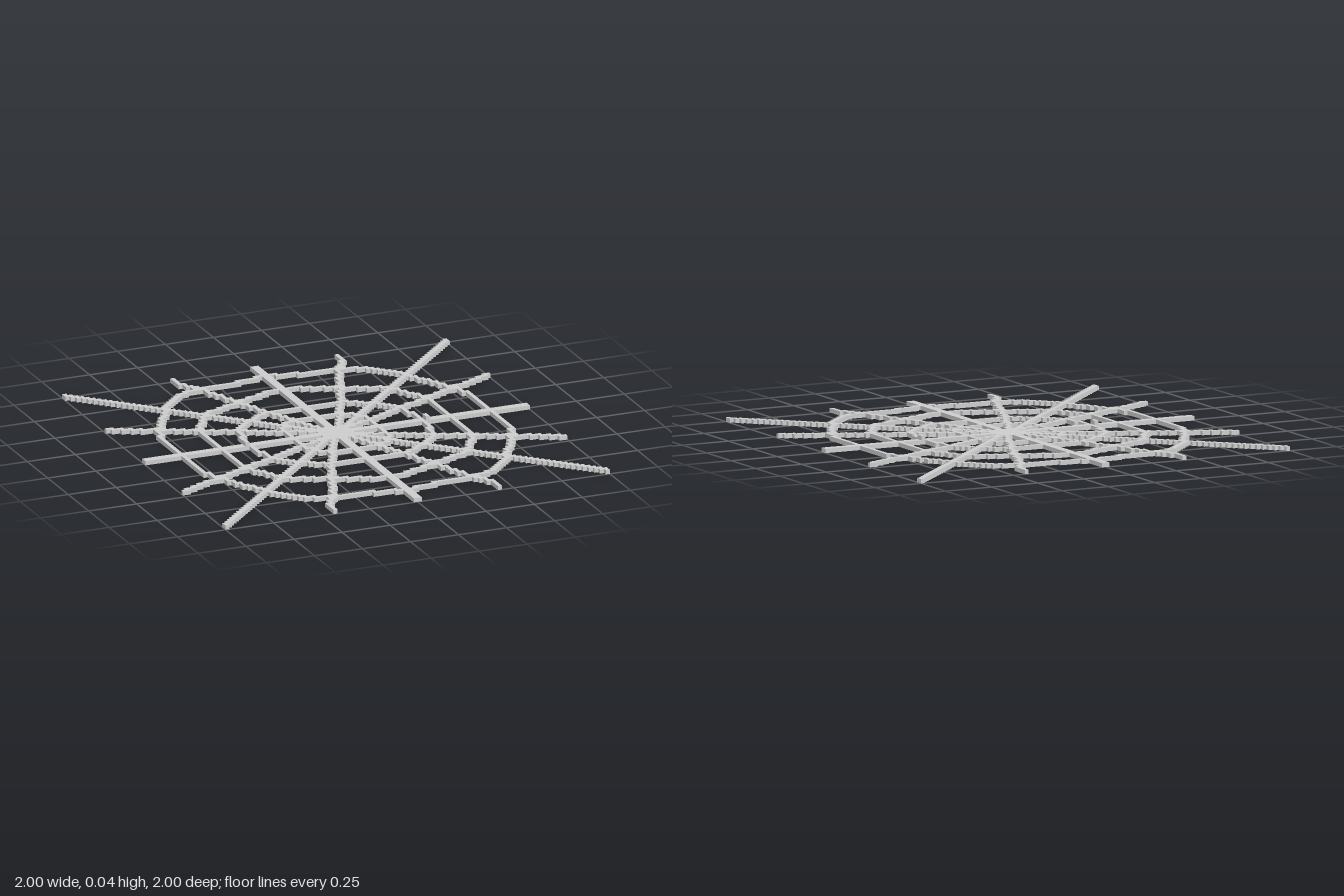
import * as THREE from 'three';
import { mergeGeometries } from 'three/addons/utils/BufferGeometryUtils.js';

const HALF = 48;            // cells from the centre to the edge
const CELL = 1 / HALF;

// Quarter-web paths as [x, z]; each is mirrored into all four quadrants.
const spokes = [
  [[0, 0], [1, 0]],
  [[0, 0], [1, 0.47]],
  [[0, 0], [1, 1]],
  [[0, 0], [0.19, 0.41], [0.37, 0.83], [0.42, 0.92], [0.42, 1]],
  [[0, 0], [0, 1]],
];
const rings = [
  [[0, 0.24], [0.12, 0.24], [0.19, 0.2], [0.22, 0.1], [0.22, 0]],
  [[0, 0.39], [0.19, 0.39], [0.31, 0.32], [0.43, 0.21], [0.455, 0]],
  [[0, 0.66], [0.08, 0.65], [0.26, 0.58], [0.47, 0.49], [0.59, 0.28], [0.595, 0]],
  [[0, 0.865], [0.1, 0.85], [0.2, 0.825], [0.36, 0.82], [0.5, 0.76], [0.62, 0.64],
    [0.75, 0.36], [0.78, 0.32], [0.8, 0.24], [0.8, 0]],
];

const toCell = v => Math.min(HALF - 1, Math.floor(v * HALF));

// Stepped line whose cells always share a side.
function walk(path, mark) {
  for (let k = 1; k < path.length; k++) {
    let [x, z] = path[k - 1].map(toCell);
    const [x1, z1] = path[k].map(toCell);
    const nx = Math.abs(x1 - x), nz = Math.abs(z1 - z);
    const sx = Math.sign(x1 - x), sz = Math.sign(z1 - z);
    mark(x, z);
    for (let i = 0, j = 0; i < nx || j < nz;) {
      if ((i + 0.5) * nz <= (j + 0.5) * nx && i < nx || j >= nz) { x += sx; i++; }
      else { z += sz; j++; }
      mark(x, z);
    }
  }
}

// Joins neighbouring cells of each row into one bar, mirrored four ways.
function buildBars(cells) {
  const bars = [];
  for (let z = -HALF; z < HALF; z++) {
    const row = z < 0 ? -z - 1 : z;
    let start = null;
    for (let x = -HALF; x <= HALF; x++) {
      const col = x < 0 ? -x - 1 : x;
      const filled = x < HALF && cells.has(row * HALF + col);
      if (filled && start === null) start = x;
      if (!filled && start !== null) {
        const bar = new THREE.BoxGeometry((x - start) * CELL, CELL, CELL);
        bar.translate((x + start) / 2 * CELL, CELL / 2, (z + 0.5) * CELL);
        bars.push(bar);
        start = null;
      }
    }
  }
  return mergeGeometries(bars);
}

export function createModel() {
  const web = new THREE.Group();
  web.name = 'spiderWeb';
  const silk = new THREE.MeshStandardMaterial({ color: 0xcccccc });
  silk.name = 'paleGreySilk';

  const add = (name, geometry) => {
    const mesh = new THREE.Mesh(geometry, silk);
    mesh.name = name;
    web.add(mesh);
    return mesh;
  };

  // Spokes and the solid hub where they meet
  const used = new Set();
  const spokeCells = new Set();
  const markSpoke = (x, z) => { spokeCells.add(z * HALF + x); used.add(z * HALF + x); };
  spokes.forEach(path => walk(path, markSpoke));
  for (let x = 0; x < 4; x++) {
    for (let z = 0; z < 4; z++) if (x + z < 6) markSpoke(x, z);
  }
  add('spokes', buildBars(spokeCells));

  // Rings, leaving out the cells already taken by spokes
  rings.forEach((path, i) => {
    const cells = new Set();
    walk(path, (x, z) => {
      const key = z * HALF + x;
      if (!used.has(key)) { cells.add(key); used.add(key); }
    });
    add('ring' + (i + 1), buildBars(cells));
  });

  // Two small raised knots on the side spokes
  for (const side of [-1, 1]) {
    const knot = add(side > 0 ? 'leftKnot' : 'rightKnot', new THREE.BoxGeometry(CELL, CELL, 2 * CELL));
    knot.position.set(side * 22.5 * CELL, 1.5 * CELL, 0);
  }
  return web;
}
